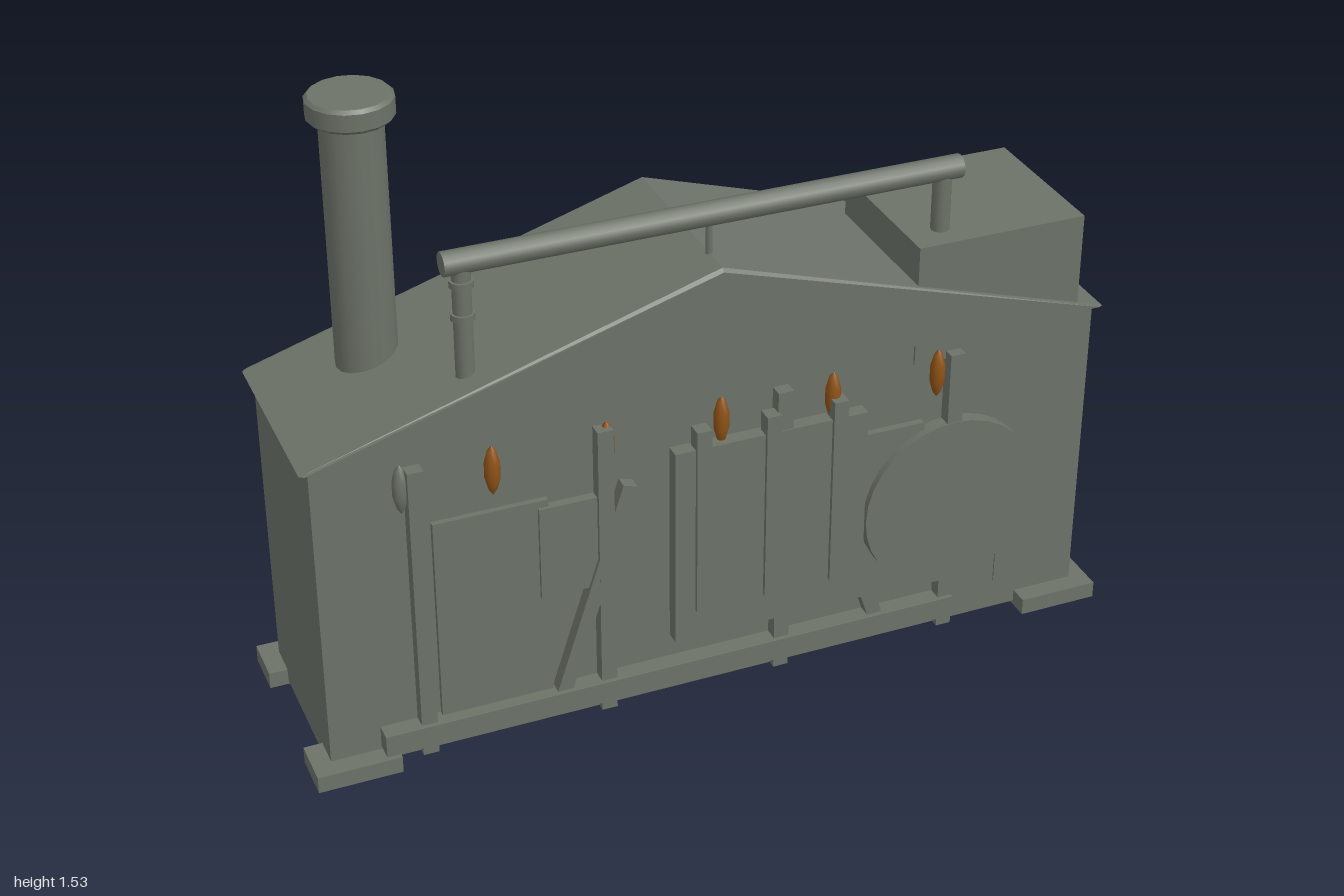
import * as THREE from 'three';

export function createModel() {
  const model = new THREE.Group();
  const grey = new THREE.MeshStandardMaterial({ color: 0x6c7268 });
  grey.name = 'weathered grey';
  const amber = new THREE.MeshStandardMaterial({ color: 0x8f5216 });
  amber.name = 'amber lamp';
  const flatGrey = grey;

  const add = (name, geometry, material = flatGrey) => {
    const mesh = new THREE.Mesh(geometry, material);
    mesh.name = name;
    model.add(mesh);
    return mesh;
  };
  // box given by its limits on each axis
  const box = (name, x0, x1, y0, y1, z0, z1) => {
    const mesh = add(name, new THREE.BoxGeometry(x1 - x0, y1 - y0, z1 - z0));
    mesh.position.set((x0 + x1) / 2, (y0 + y1) / 2, (z0 + z1) / 2);
    return mesh;
  };
  // upright turned part, profile of [radius, y]; each band keeps its own normals
  const turned = (name, profile, sides, x, z, material) => {
    const points = profile.map(([r, y]) => new THREE.Vector2(r, y));
    const mesh = add(name, new THREE.LatheGeometry(points, sides), material);
    mesh.position.set(x, 0, z);
    return mesh;
  };
  const post = (name, r, y0, y1, x, z, sides = 12) => {
    const mesh = add(name, new THREE.CylinderGeometry(r, r, y1 - y0, sides));
    mesh.position.set(x, (y0 + y1) / 2, z);
    return mesh;
  };

  // Main hall and corner feet
  box('hall', -0.955, 0.955, 0.01, 0.82, -0.228, 0.222);
  for (const sx of [-1, 1]) {
    for (const sz of [-1, 1]) {
      const foot = box('foot', 0.8, 1, 0, 0.042, 0.15, 0.27);
      foot.position.x *= sx;
      foot.position.z *= sz;
    }
  }

  // Gabled roof with softened edges
  const b = 0.008;
  const gable = new THREE.Shape();
  gable.moveTo(-0.965, 0.815 + b);
  gable.lineTo(0.965, 0.815 + b);
  gable.lineTo(0, 1.125 - b);
  gable.closePath();
  const roof = add('roof', new THREE.ExtrudeGeometry(gable, {
    depth: 0.492 - 2 * b, bevelEnabled: true, bevelSize: b, bevelThickness: b, bevelSegments: 1,
  }));
  roof.position.z = -0.252 + b;

  // Roof box
  box('roofBox', 0.487, 0.91, 0.765, 1.07, -0.16, 0.228);

  // Chimney and its cap
  post('chimney', 0.072, 0.83, 1.49, -0.725, -0.09, 16);
  post('chimneyCap', 0.098, 1.487, 1.527, -0.725, -0.09, 16);
  for (const [y, top, bottom] of [[1.483, 0.098, 0.09], [1.531, 0.09, 0.098]]) {
    const rim = add('chimneyCapRim', new THREE.CylinderGeometry(top, bottom, 0.008, 16));
    rim.position.set(-0.725, y, -0.09);
  }

  // Overhead pipe on its supports
  const pipe = add('overheadPipe', new THREE.CylinderGeometry(0.028, 0.028, 1.232, 12));
  pipe.rotation.z = Math.PI / 2;
  pipe.position.set(0, 1.222, 0.155);
  post('pipeSupport', 0.022, 0.9, 1.21, -0.573, 0.155);
  post('pipeSupport', 0.022, 0.95, 1.21, 0.573, 0.155);
  post('pipeHanger', 0.008, 1.08, 1.21, 0, 0.155, 8);
  for (const y of [1.09, 1.17]) post('supportCollar', 0.028, y - 0.008, y + 0.008, -0.573, 0.155);

  // Wall pilasters on both long sides
  for (const x of [-0.727, -0.288, 0.15, 0.587]) {
    box('frontPilaster', x - 0.019, x + 0.019, 0.02, 0.785, 0.21, 0.255);
    box('backPilaster', x - 0.019, x + 0.019, 0.02, 0.785, -0.268, -0.21);
  }

  // Front wall: beam, panels, ribs
  box('frontBeam', -0.835, 0.603, 0.05, 0.105, 0.215, 0.267);
  box('tallPanel', -0.69, -0.42, 0.1, 0.628, 0.21, 0.236);
  box('smallPanel', -0.445, -0.27, 0.37, 0.61, 0.21, 0.245);
  box('smallPanel', 0.34, 0.515, 0.37, 0.61, 0.21, 0.24);
  box('mainPanel', -0.123, 0.358, 0.165, 0.685, 0.21, 0.258);
  for (const x of [-0.055, 0.117, 0.285]) {
    box('panelRib', x - 0.018, x + 0.018, 0.245, 0.735, 0.23, 0.268);
  }
  box('wallRod', 0.737, 0.743, 0.09, 0.22, 0.215, 0.226);

  // Slanted braces, mirrored
  for (const s of [-1, 1]) {
    const brace = add('brace', new THREE.BoxGeometry(0.036, 0.56, 0.045));
    brace.position.set(s * 0.315, 0.36, 0.232);
    brace.rotation.z = s * 0.31;
  }

  // Round tank on the front
  const tank = add('roundTank', new THREE.CylinderGeometry(0.225, 0.225, 0.045, 32));
  tank.rotation.x = Math.PI / 2;
  tank.position.set(0.588, 0.378, 0.235);

  // Back wall panels
  box('backTallPanel', 0.385, 0.64, 0.095, 0.59, -0.25, -0.21);
  for (const x of [0.41, 0.035, -0.37]) {
    box('backSmallPanel', x - 0.09, x + 0.09, 0.385, 0.62, x > 0.3 ? -0.26 : -0.248, -0.21);
  }

  // Hanging spindle lamps under the front eave
  const spindle = [[0, 0.67], [0.01, 0.685], [0.018, 0.715], [0.018, 0.755], [0.01, 0.785], [0, 0.797]];
  for (const x of [-0.546, -0.278, 0, 0.278, 0.546]) turned('lamp', spindle, 10, x, 0.232, amber);
  turned('unlitLamp', spindle, 10, -0.755, 0.228, grey);

  return model;
}
